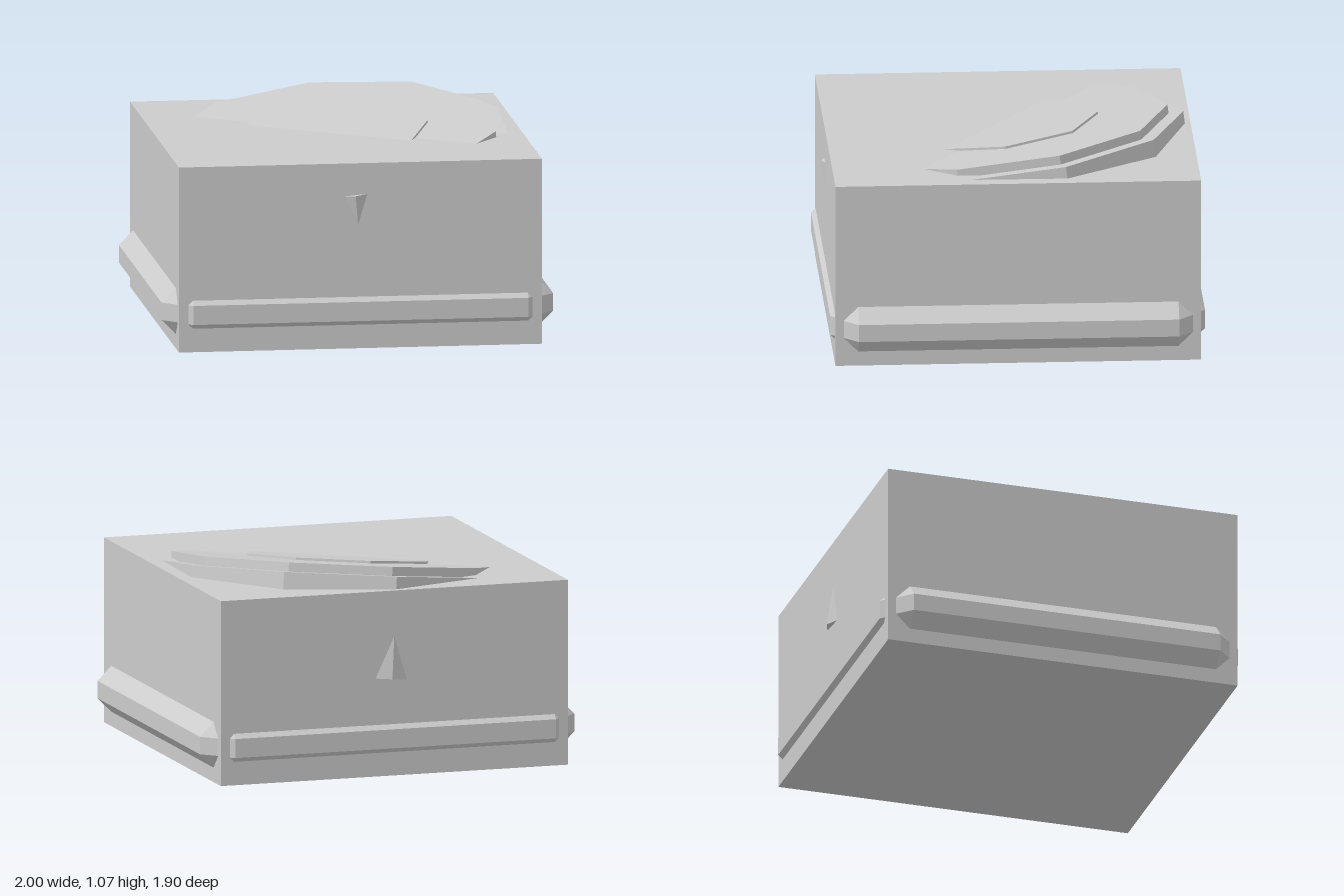
import * as THREE from 'three';
import { ConvexGeometry } from 'three/addons/geometries/ConvexGeometry.js';

// Box with every edge and corner cut off by c; sizes are half extents.
function chamferedBox(hx, hy, hz, c) {
  const points = [];
  for (const sx of [-1, 1]) for (const sy of [-1, 1]) for (const sz of [-1, 1]) {
    points.push(
      new THREE.Vector3(sx * hx, sy * (hy - c), sz * (hz - c)),
      new THREE.Vector3(sx * (hx - c), sy * hy, sz * (hz - c)),
      new THREE.Vector3(sx * (hx - c), sy * (hy - c), sz * hz)
    );
  }
  return new ConvexGeometry(points);
}

export function createModel() {
  const model = new THREE.Group();
  model.name = 'blockWithTiltedDial';
  const grey = new THREE.MeshStandardMaterial({ color: 0xcccccc, flatShading: true });
  grey.name = 'light grey';

  const add = (parent, name, geometry, x, y, z) => {
    const mesh = new THREE.Mesh(geometry, grey);
    mesh.name = name;
    mesh.position.set(x, y, z);
    parent.add(mesh);
    return mesh;
  };

  // Main block
  add(model, 'body', new THREE.BoxGeometry(1.854, 0.952, 1.854), 0, 0.476, 0);

  // Thick bumper rails on the sides, slim ones on the front and back
  const sideRail = chamferedBox(0.15, 0.118, 0.885, 0.073);
  const endRail = chamferedBox(0.88, 0.073, 0.12, 0.024);
  for (const s of [-1, 1]) {
    add(model, s > 0 ? 'leftRail' : 'rightRail', sideRail, s * 0.85, 0.193, 0);
    add(model, s > 0 ? 'frontRail' : 'backRail', endRail, 0, 0.193, s * 0.83);
  }

  // Tilted drum inside the block; its rim tips break through front and back
  const dial = new THREE.Group();
  dial.name = 'tiltedDial';
  dial.position.set(-0.003, 0.643, -0.004);
  dial.rotation.set(0.124, 0, 0.0875);
  model.add(dial);

  // Stacked steps: name, radius, sides, bottom, top
  const steps = [
    ['dialDrum', 0.925, 10, -0.26, 0.26],
    ['dialStep', 0.85, 10, 0.2, 0.306],
    ['dialCentre', 0.495, 8, 0.25, 0.318]
  ];
  for (const [name, r, sides, y0, y1] of steps) {
    add(dial, name, new THREE.CylinderGeometry(r, r, y1 - y0, sides), 0, (y0 + y1) / 2, 0);
  }
  return model;
}
